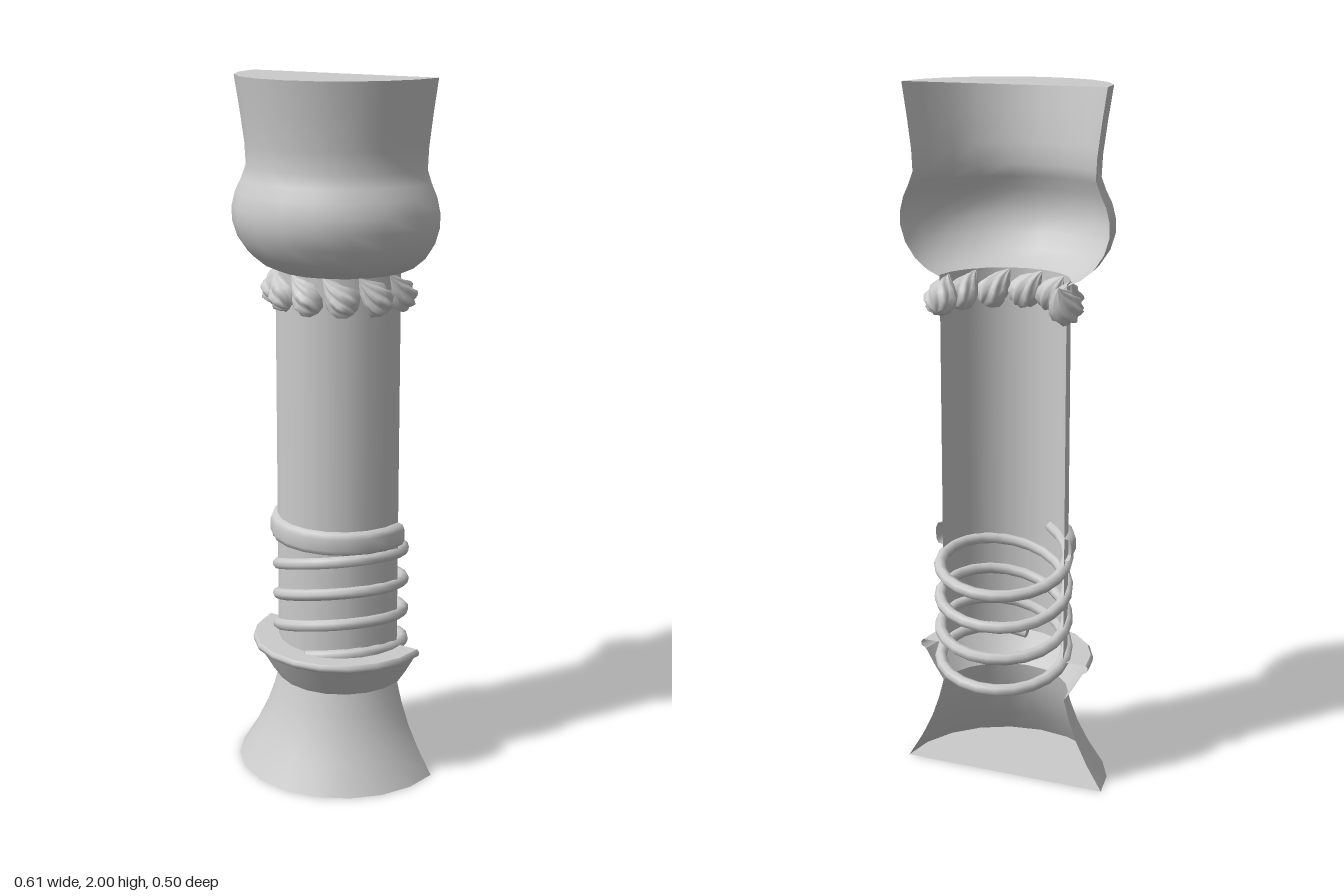
import * as THREE from 'three';

const AXIS_Z = -0.06; // the half pillar is cut along this plane
const material = new THREE.MeshStandardMaterial({ color: 0xcccccc, side: THREE.DoubleSide });

function addMesh(parent, name, geometry) {
  const mesh = new THREE.Mesh(geometry, material);
  mesh.name = name;
  parent.add(mesh);
  return mesh;
}

// Half revolution facing the front, from [radius, y] points
function halfLathe(points) {
  const profile = points.map(([r, y]) => new THREE.Vector2(r, y));
  return new THREE.LatheGeometry(profile, 10, -Math.PI / 2, Math.PI);
}

// Half disc closing an end of the pillar
function halfDisc(radius, y, up) {
  const disc = new THREE.CircleGeometry(radius, 10, up ? Math.PI : 0, Math.PI);
  disc.rotateX(up ? -Math.PI / 2 : Math.PI / 2);
  return disc.translate(0, y, 0);
}

// Rising coil that leans down at the back and up to its left
class CoilCurve extends THREE.Curve {
  getPoint(t, target = new THREE.Vector3()) {
    const turns = 3.93 * t;
    const a = turns * Math.PI * 2;
    const s = Math.sin(a), c = Math.cos(a);
    return target.set(0.183 * s, 0.337 + 0.094 * turns + 0.025 * s + 0.037 * c, 0.008 + 0.181 * c);
  }
}

// Pointed, ridged bud whose ridges spiral around its length
function twistedBud() {
  const profile = [[0, -0.056], [0.022, -0.051], [0.039, -0.032], [0.043, -0.01],
    [0.036, 0.014], [0.023, 0.038], [0.01, 0.058], [0, 0.075]];
  const geometry = new THREE.LatheGeometry(profile.map(([r, y]) => new THREE.Vector2(r, y)), 28);
  const p = geometry.attributes.position;
  for (let i = 0; i < p.count; i++) {
    const x = p.getX(i), y = p.getY(i), z = p.getZ(i);
    const k = 1 + 0.17 * Math.cos(7 * (Math.atan2(x, z) + y * 13));
    p.setXYZ(i, x * k, y, z * k);
  }
  geometry.computeVertexNormals();
  return geometry;
}

export function createModel() {
  const model = new THREE.Group();
  model.name = 'halfPillar';
  const body = new THREE.Group();
  body.name = 'pillarBody';
  body.position.z = AXIS_Z;
  model.add(body);

  // Flared foot with its flange
  addMesh(body, 'footCap', halfDisc(0.307, 0, false));
  addMesh(body, 'foot', halfLathe([[0.307, 0], [0.262, 0.075], [0.228, 0.145], [0.205, 0.21], [0.19, 0.268]]));
  addMesh(body, 'footFlare', halfLathe([[0.19, 0.268], [0.215, 0.305], [0.246, 0.358]]));
  addMesh(body, 'flangeRim', halfLathe([[0.246, 0.358], [0.26, 0.367], [0.262, 0.378], [0.255, 0.386]]));
  addMesh(body, 'flangeTop', halfLathe([[0.255, 0.386], [0.187, 0.386]]));

  // Straight shaft and its collar
  addMesh(body, 'shaft', halfLathe([[0.187, 0.386], [0.187, 1.48]]));
  addMesh(body, 'collar', halfLathe([[0.187, 0.692], [0.202, 0.696], [0.208, 0.71], [0.208, 0.742],
    [0.202, 0.756], [0.187, 0.76]]));

  // Swollen head
  addMesh(body, 'head', halfLathe([[0.187, 1.475], [0.225, 1.492], [0.262, 1.522], [0.291, 1.565], [0.305, 1.61],
    [0.305, 1.65], [0.295, 1.69], [0.278, 1.725], [0.265, 1.76], [0.268, 1.82], [0.28, 1.91], [0.294, 2]]));
  addMesh(body, 'headCap', halfDisc(0.294, 2, true));

  // Wire coil wound round the lower shaft
  const curve = new CoilCurve();
  const coil = new THREE.Group();
  coil.name = 'coil';
  addMesh(coil, 'coilWire', new THREE.TubeGeometry(curve, 88, 0.017, 8));
  for (const t of [0, 1]) {
    const end = addMesh(coil, 'coilEnd', new THREE.CircleGeometry(0.017, 8));
    end.position.copy(curve.getPoint(t));
    end.quaternion.setFromUnitVectors(new THREE.Vector3(0, 0, 1), curve.getTangent(t));
  }
  body.add(coil);

  // Garland of leaning buds under the head
  const garland = new THREE.Group();
  garland.name = 'garland';
  const bud = twistedBud();
  const up = new THREE.Vector3(0, 1, 0);
  for (let i = 0; i < 7; i++) {
    const a = Math.PI / 2 - (i * Math.PI) / 6;
    const lean = new THREE.Vector3(-Math.cos(a) * 0.65, 0.76, Math.sin(a) * 0.65).normalize();
    const mesh = addMesh(garland, 'bud', bud);
    mesh.position.set(Math.sin(a) * 0.182, 1.422, Math.cos(a) * 0.182);
    mesh.quaternion.setFromUnitVectors(up, lean);
  }
  body.add(garland);

  return model;
}
